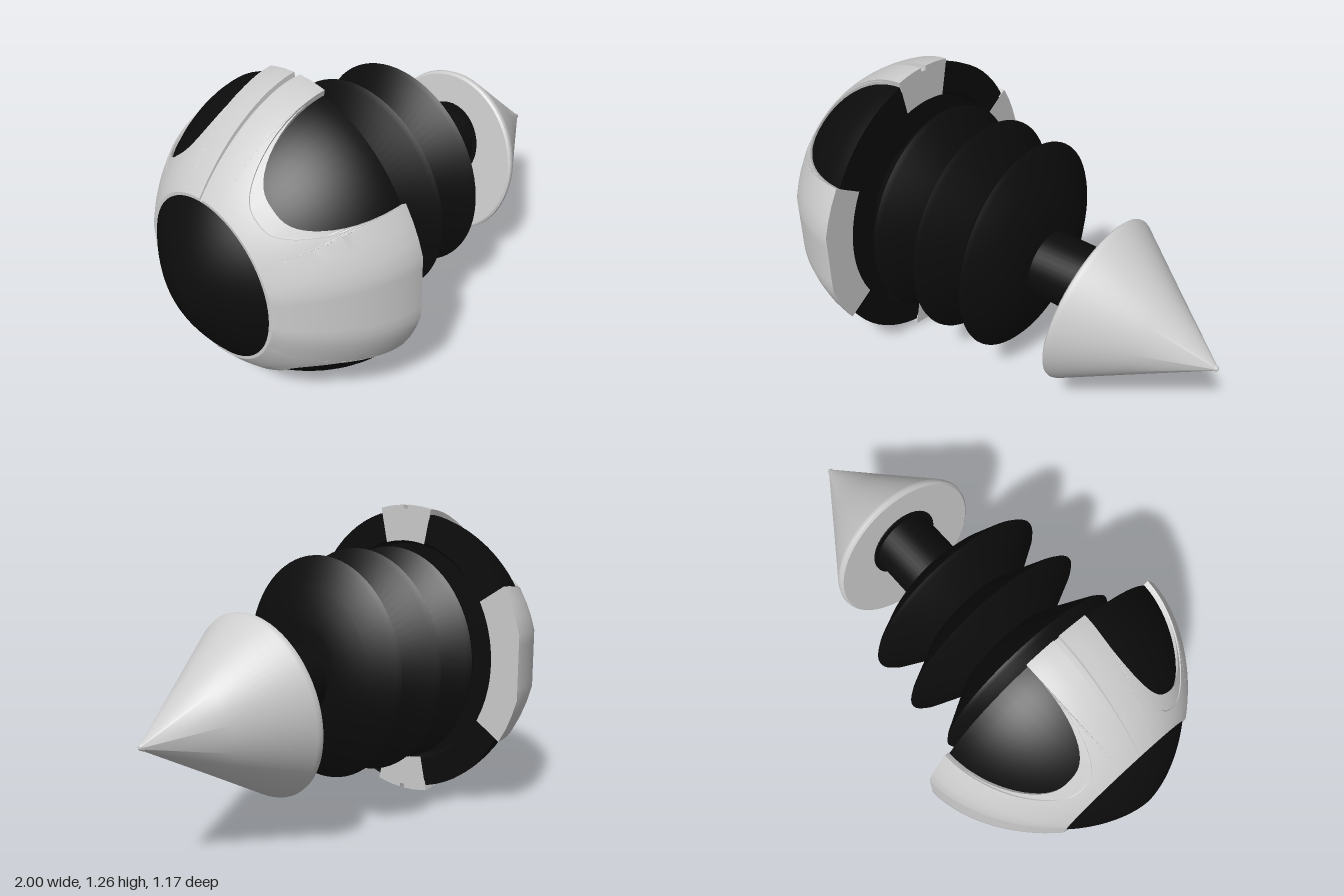
import * as THREE from 'three';
import { toCreasedNormals } from 'three/addons/utils/BufferGeometryUtils.js';

const CY = 0.63, RY = 0.63, RZ = 0.585;   // body axis height, dome radii
const RIM = -0.41, LIP = -0.87;           // dome opening and nose hole
const rad = THREE.MathUtils.degToRad;

// Dome radius (0..1) at a station along x
const domeR = (x) => Math.pow(Math.max(0, 1 - Math.pow((RIM - x) / 0.59, 1.7)), 1 / 1.7);

// Surface of revolution around the x axis from [x, r] pairs
function turned(points, ry, rz, cy, crease, segments = 72) {
  const g = new THREE.LatheGeometry(points.map(([x, r]) => new THREE.Vector2(r, x)), segments);
  g.rotateZ(-Math.PI / 2);
  g.scale(1, ry, rz);
  g.translate(0, cy, 0);
  return toCreasedNormals(g, crease);
}

// One quarter of the shell: columns with angle, end station and rim depth
function quarterColumns() {
  const cols = [];
  for (const a of [0, 4, 8, 12, 18, 24, 30.5]) cols.push({ a, end: RIM, depth: 0.78, bevel: 1 });
  const n = 28;
  for (let i = 0; i <= n; i++) {          // arched notch
    const s = Math.sin((i / n - 0.5) * Math.PI);
    const arch = Math.pow(Math.max(0, 1 - Math.pow(Math.abs(s), 2.7)), 1 / 2.7);
    cols.push({ a: 53.6 + 23.1 * s, end: RIM - 0.36 * arch, depth: 0.93, bevel: 0.988 });
  }
  for (const a of [76.7, 80, 84, 88.7, 88.9, 90]) cols.push({ a, end: RIM, depth: 0.76, bevel: 1 });
  return cols;
}

// Flattened side panels and a narrow groove on the top and bottom bands
function panelScale(a) {
  if (a <= 12) return 1 / Math.cos(rad(a));
  if (a < 30.5) return 1 + 0.022 * (30.5 - a) / 18.5;
  return a > 88.8 ? 0.972 : 1;
}

function shellGeometry() {
  const quarter = quarterColumns(), cols = [];
  for (let q = 0; q < 4; q++) {
    const list = q % 2 ? [...quarter].reverse() : quarter;
    for (const c of list) cols.push({ ...c, t: rad(q % 2 ? (q + 1) * 90 - c.a : q * 90 + c.a) });
  }
  const rows = 18, pos = [], idx = [];
  for (const c of cols) {
    const put = (x, k) => {
      const r = domeR(x) * k;
      pos.push(x, CY + RY * r * Math.sin(c.t), RZ * r * Math.cos(c.t));
    };
    const f = panelScale(c.a);
    const border = c.bevel < 1 ? Math.max(LIP + 0.02, c.end - 0.05) : c.end - 0.01;
    put(LIP, 0.93);
    for (let j = 0; j <= rows; j++) put(LIP + (border - LIP) * j / rows, f);
    put(border + 0.004, f * c.bevel);
    put(c.end, f * c.bevel);
    put(c.end, c.depth);
  }
  const m = rows + 5;
  for (let i = 0; i < cols.length; i++) {
    const k = (i + 1) % cols.length;
    for (let j = 0; j < m - 1; j++) {
      const a = i * m + j, b = k * m + j;
      idx.push(a, b, a + 1, b, b + 1, a + 1);
    }
  }
  const g = new THREE.BufferGeometry();
  g.setAttribute('position', new THREE.Float32BufferAttribute(pos, 3));
  g.setIndex(idx);
  // Make sure the faces look outwards
  g.computeVertexNormals();
  const p = g.attributes.position, nr = g.attributes.normal;
  if (p.getZ(8) * nr.getZ(8) < 0) g.setIndex(idx.reverse());
  return toCreasedNormals(g, 0.4);
}

export function createModel() {
  const group = new THREE.Group();
  const white = new THREE.MeshStandardMaterial({ color: 0xcccccc, side: THREE.DoubleSide });
  white.name = 'lightGrey';
  const black = new THREE.MeshStandardMaterial({ color: 0x0c0c0c, side: THREE.DoubleSide });
  black.name = 'black';
  const add = (name, geometry, material) => {
    const mesh = new THREE.Mesh(geometry, material);
    mesh.name = name;
    group.add(mesh);
  };

  // Dark inner dome: nose, window panels and inner rim
  const dome = [];
  for (let i = 0; i <= 32; i++) {
    const x = RIM - 0.004 - 0.586 * Math.cos(i / 32 * Math.PI / 2);
    dome.push([x, domeR(x) * 0.965]);
  }
  dome[0] = [-1, 0];
  dome.push([RIM - 0.004, 0.77], [RIM - 0.03, 0.74], [RIM - 0.03, 0.4]);
  add('innerDome', turned(dome, RY, RZ, CY, 0.6), black);

  // Light outer shell with four arched notches
  add('outerShell', shellGeometry(), white);

  // Pleated bellows
  add('bellows', turned([
    [-0.45, 0.32], [-0.41, 0.36], [-0.335, 0.45], [-0.32, 0.458], [-0.305, 0.44],
    [-0.205, 0.26], [-0.12, 0.445], [-0.107, 0.463], [-0.094, 0.445], [0, 0.262],
    [0.1, 0.433], [0.114, 0.448], [0.128, 0.43], [0.18, 0.33], [0.21, 0.25],
    [0.226, 0.18], [0.226, 0],
  ], 1, 0.93, CY, 0.6), black);

  // Neck
  add('neck', turned([[0.2, 0.137], [0.49, 0.137]], 1, 1, 0.6, 0.6, 40), black);

  // Tilted cone, with a dark socket where the neck enters
  const tilt = new THREE.Matrix4().makeBasis(
    new THREE.Vector3(0.055, 0.362, 0),
    new THREE.Vector3(0.55, -0.05, 0),
    new THREE.Vector3(0, 0, -0.34),
  ).setPosition(0.45, 0.535, 0);
  const cone = new THREE.LatheGeometry([
    [0, 0], [0.97, 0], [0.995, 0.012], [1, 0.03], [0.985, 0.055],
    [0.51, 0.51], [0.045, 0.96], [0.025, 0.99], [0, 1],
  ].map(([r, y]) => new THREE.Vector2(r, y)), 64).applyMatrix4(tilt);
  add('cone', toCreasedNormals(cone, 0.6), white);

  const socket = new THREE.CylinderGeometry(0.46, 0.46, 0.008, 40);
  socket.translate(0.18, -0.004, 0).applyMatrix4(tilt);
  add('coneSocket', socket, black);

  return group;
}
